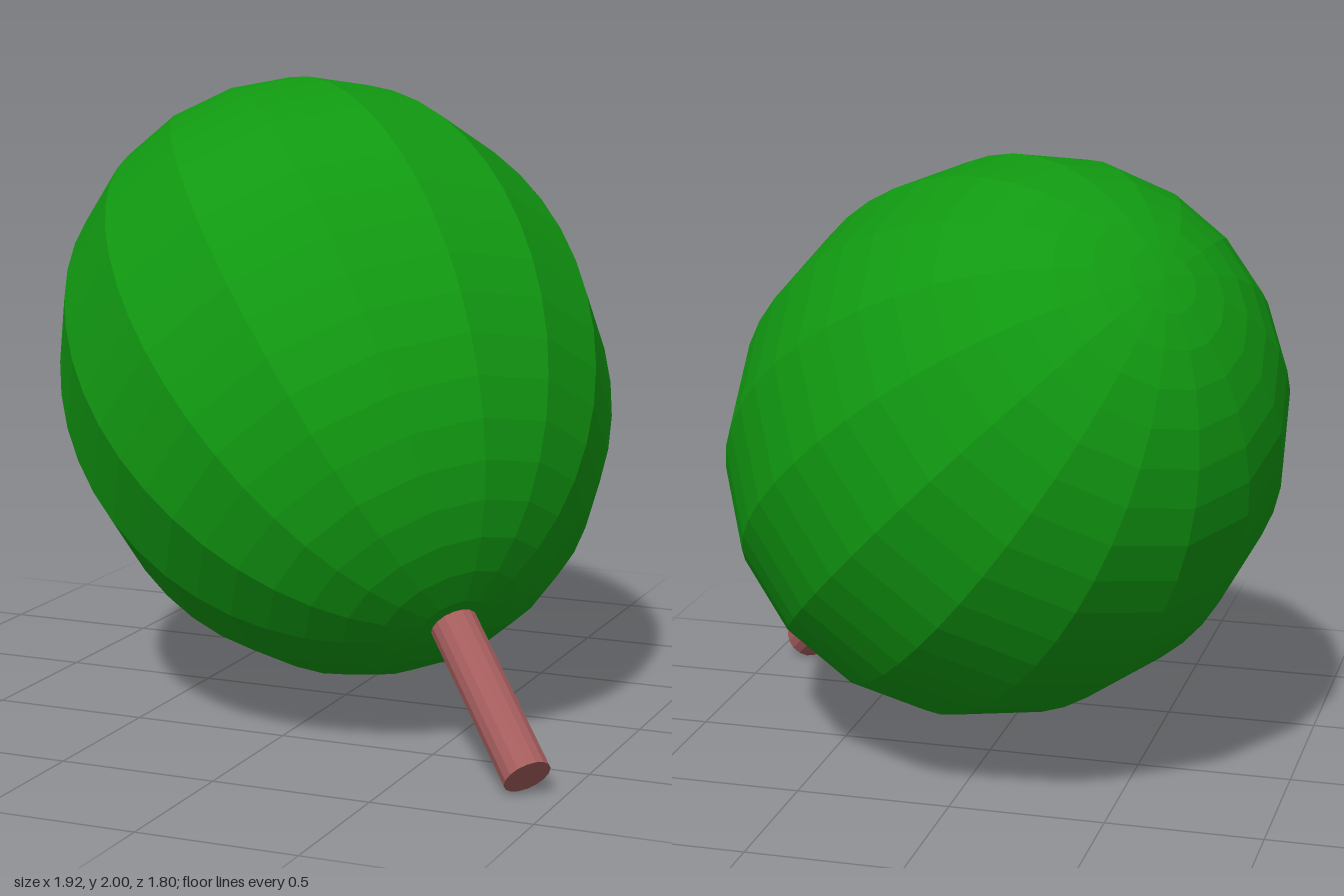
import * as THREE from 'three';

export function createModel() {
  const group = new THREE.Group();
  group.name = 'fruit';

  const mat = (color) => new THREE.MeshStandardMaterial({ color, flatShading: true });

  // Tilted frame: local +y runs from the stem end to the blossom end, local x stays level
  const up = new THREE.Vector3(-0.597, 0.639, -0.484).normalize();
  const side = new THREE.Vector3(up.z, 0, -up.x).normalize();
  const depth = new THREE.Vector3().crossVectors(side, up);

  const tilted = new THREE.Group();
  tilted.name = 'tiltedFruit';
  tilted.quaternion.setFromRotationMatrix(new THREE.Matrix4().makeBasis(side, up, depth));
  tilted.position.set(-0.047, 1.07, 0);
  group.add(tilted);

  // Faceted egg-like body with sixteen lengthwise strips
  const bodyGeometry = new THREE.SphereGeometry(1, 16, 24);
  bodyGeometry.scale(0.863, 1.03, 0.863);
  const body = new THREE.Mesh(bodyGeometry, mat(0x119911));
  body.name = 'body';
  tilted.add(body);

  // Short straight stem, sunk into the body
  const inner = 0.9, tip = 1.58;
  const stem = new THREE.Mesh(
    new THREE.CylinderGeometry(0.074, 0.074, tip - inner, 16),
    mat(0xa55d5d)
  );
  stem.name = 'stem';
  stem.position.y = -(inner + tip) / 2;
  tilted.add(stem);

  return group;
}
